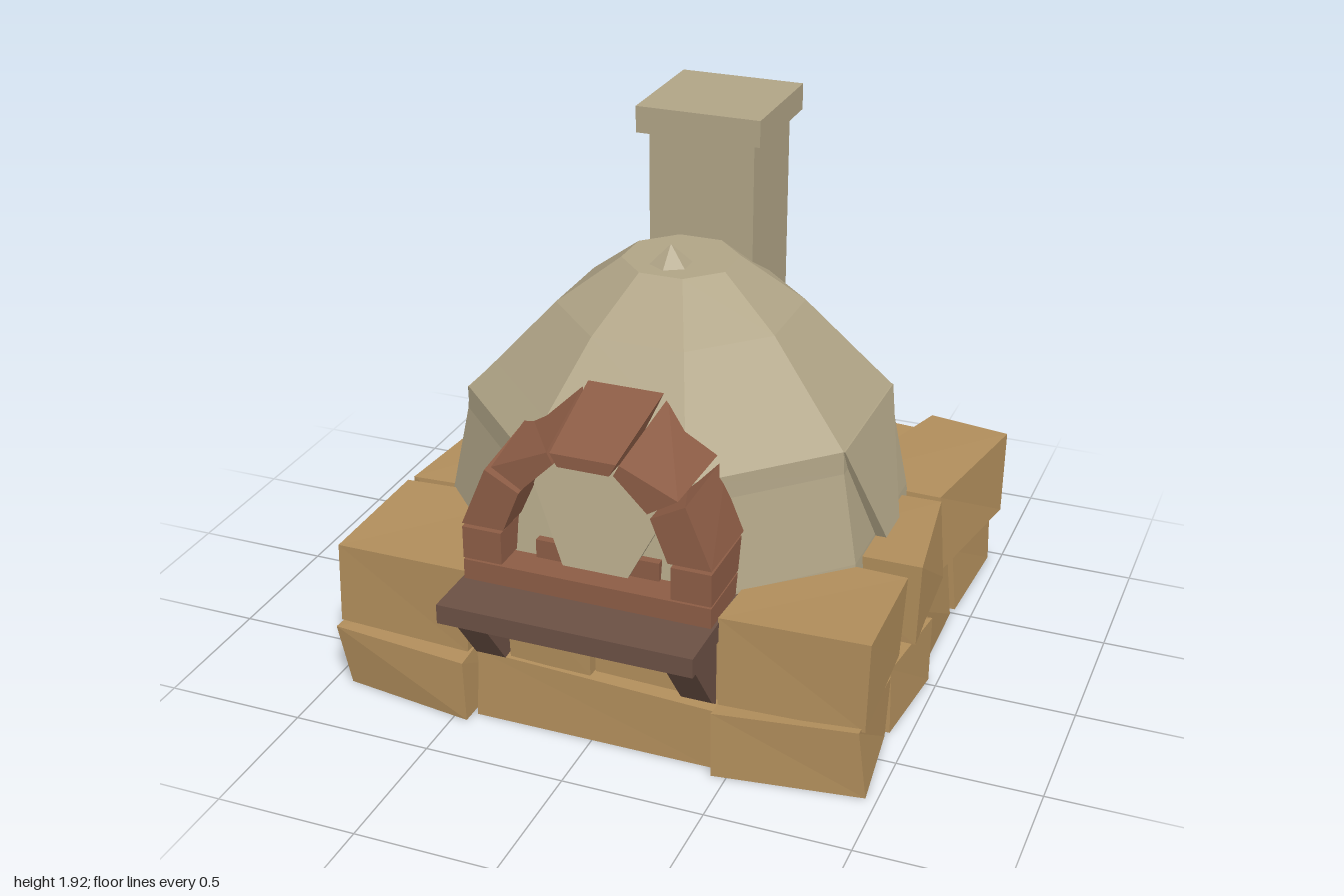
import * as THREE from 'three';

let seed = 11;
const jitter = (s) => {
  seed = (seed * 16807) % 2147483647;
  return (seed / 2147483647 - 0.5) * 2 * s;
};

// Flat-shaded solid between two matching outlines; a is counter-clockwise seen from its own side
function loft(a, b) {
  const v = [];
  const tri = (p, q, r) => v.push(...p, ...q, ...r);
  const n = a.length;
  for (let i = 1; i < n - 1; i++) {
    tri(a[0], a[i], a[i + 1]);
    tri(b[0], b[i + 1], b[i]);
  }
  for (let i = 0; i < n; i++) {
    const j = (i + 1) % n;
    tri(a[i], b[i], b[j]);
    tri(a[i], b[j], a[j]);
  }
  const g = new THREE.BufferGeometry();
  g.setAttribute('position', new THREE.Float32BufferAttribute(v, 3));
  g.computeVertexNormals();
  return g;
}

function flat(g) {
  const f = g.toNonIndexed();
  f.computeVertexNormals();
  return f;
}

function box(x0, x1, y0, y1, z0, z1) {
  return new THREE.BoxGeometry(x1 - x0, y1 - y0, z1 - z0)
    .translate((x0 + x1) / 2, (y0 + y1) / 2, (z0 + z1) / 2);
}

const mirror = (pts) => pts.map(([x, ...rest]) => [-x, ...rest]).reverse();

export function createModel() {
  const root = new THREE.Group();
  root.name = 'stoneOven';
  const material = (name, color) => {
    const m = new THREE.MeshStandardMaterial({ color });
    m.name = name;
    return m;
  };
  const stone = material('tan stone', 0xb08d5b);
  const clay = material('grey clay', 0xb0a486);
  const brick = material('red brick', 0x8c5c45);
  const slab = material('dark brown slab', 0x6b5044);

  const add = (name, g, m, parent = root) => {
    const mesh = new THREE.Mesh(g, m);
    mesh.name = name;
    parent.add(mesh);
    return mesh;
  };

  // Stone base: plan outlines [x, z] of the right half, mirrored; two courses
  const lower = [
    [[0.46, 0.79], [0.95, 0.74], [0.93, 0.36], [0.46, 0.36]],
    [[0.5, 0.34], [0.93, 0.34], [0.95, -0.03], [0.5, -0.03]],
    [[0.5, -0.05], [0.94, -0.05], [0.91, -0.5], [0.5, -0.5]],
    [[0.45, -0.52], [0.92, -0.52], [0.96, -0.95], [0.45, -0.91]],
    [[0.01, -0.5], [0.43, -0.5], [0.43, -0.92], [0.01, -0.89]],
  ];
  const upper = [
    [[0.45, 0.74], [0.96, 0.72], [0.94, 0.24], [0.45, 0.24]],
    [[0.5, 0.15], [0.96, 0.15], [0.91, -0.34], [0.5, -0.34]],
    [[0.5, -0.37], [0.9, -0.37], [1.0, -0.93], [0.7, -0.96]],
    [[0.41, -0.5], [0.72, -0.5], [0.69, -0.92], [0.41, -0.9]],
    [[0.01, -0.5], [0.39, -0.5], [0.39, -0.91], [0.01, -0.94]],
    [[0.005, 0.72], [0.32, 0.72], [0.32, 0.3], [0.005, 0.3]],
  ];
  const base = new THREE.Group();
  base.name = 'stoneBase';
  root.add(base);
  const addStone = (name, plan, y0, y1) => {
    const clamp = (x) => Math.max(-1, Math.min(1, x));
    const ring = (y, wobble) => plan.map(([x, z]) =>
      [clamp(x + jitter(0.018)), y + jitter(wobble), z + jitter(0.018)]);
    add(name, loft(ring(y1, 0.02), ring(y0, y0 > 0 ? 0.012 : 0)), stone, base);
  };
  for (const plan of lower) {
    addStone('lowerStone', plan, 0, 0.24);
    addStone('lowerStone', mirror(plan), 0, 0.24);
  }
  addStone('lowerFrontStone', [[-0.43, 0.75], [0.43, 0.75], [0.43, 0.3], [-0.43, 0.3]], 0, 0.24);
  upper.forEach((plan, i) => {
    const top = i > 2 ? 0.53 : 0.56;
    addStone('upperStone', plan, 0.25, top);
    addStone('upperStone', mirror(plan), 0.25, top);
  });
  add('baseCore', box(-0.86, 0.86, 0, 0.47, -0.86, 0.68), stone, base);

  // Eight-sided dome; radii are given to the middle of each face
  const dome = new THREE.Group();
  dome.name = 'dome';
  dome.position.z = -0.08;
  root.add(dome);
  const profile = [[0.77, 0.42], [0.755, 0.57], [0.695, 0.89], [0.69, 0.97],
    [0.6, 1.07], [0.4, 1.295], [0.19, 1.46], [0, 1.46]]
    .map(([r, y]) => new THREE.Vector2(r / Math.cos(Math.PI / 8), y));
  add('domeShell', flat(new THREE.LatheGeometry(profile, 8, Math.PI / 8)), clay, dome);

  // Downward-pointing panels on the four main faces
  for (let i = 0; i < 4; i++) {
    const face = [[0, 0.4, 0.835], [0.285, 0.97, 0.695], [-0.285, 0.97, 0.695]];
    const inner = face.map(([x, y, z]) => [x, y, z - 0.1]);
    add('domePanel', loft(face, inner), clay, dome).rotation.y = i * Math.PI / 2;
  }
  const finial = flat(new THREE.ConeGeometry(0.085, 0.08, 6)).translate(-0.01, 1.49, 0.07);
  add('finial', finial, clay, dome);

  // Chimney
  add('chimneyShaft', box(-0.193, 0.193, 0.95, 1.83, -0.645, -0.27), clay);
  add('chimneyCap', box(-0.227, 0.227, 1.83, 1.925, -0.685, -0.23), clay);

  // Mouth: sill, jamb bricks and arch bricks that flare towards the dome
  add('sillBrick', box(-0.44, 0.44, 0.56, 0.633, 0.42, 0.78), brick);
  add('hearthStep', box(-0.22, 0.22, 0.63, 0.7, 0.42, 0.68), brick);
  const zf = 0.78, zb = 0.42;
  const archBrick = (front, back) => {
    for (const f of [(p) => p, mirror]) {
      add('archBrick', loft(f(front).map((p) => [...p, zf]), f(back).map((p) => [...p, zb])), brick);
    }
  };
  for (const s of [-1, 1]) {
    add('jambBrick', box(-0.07, 0.07, 0.64, 0.757, zb, zf), brick).position.x = s * 0.37;
  }
  archBrick([[0.29, 0.77], [0.44, 0.77], [0.35, 0.985], [0.23, 0.92]],
    [[0.29, 0.77], [0.445, 0.77], [0.36, 1.01], [0.23, 0.92]]);
  archBrick([[0.22, 0.935], [0.325, 1.0], [0.125, 1.09], [0.105, 1.05]],
    [[0.22, 0.935], [0.35, 1.03], [0.15, 1.17], [0.105, 1.05]]);
  add('keyBrick', loft(
    [[-0.09, 1.045, zf], [0.09, 1.045, zf], [0.115, 1.09, zf], [-0.115, 1.09, zf]],
    [[-0.09, 1.045, zb], [0.09, 1.045, zb], [0.135, 1.185, zb], [-0.135, 1.185, zb]]), brick);

  // Shelf and its two brackets
  add('shelf', box(-0.45, 0.45, 0.49, 0.56, 0.5, 0.97), slab);
  const side = [[0.92, 0.49], [0.7, 0.49], [0.7, 0.22], [0.74, 0.25]];
  for (const s of [-1, 1]) {
    const at = (x) => side.map(([z, y]) => [x, y, z]).reverse();
    const g = loft(at(s * 0.375 + 0.055).reverse(), at(s * 0.375 - 0.055).reverse());
    const m = add('shelfBracket', g, slab);
    // Outline runs the other way round when seen from +x
    const p = g.attributes.position;
    const n = new THREE.Vector3().fromBufferAttribute(g.attributes.normal, 0);
    if (n.x < 0) {
      for (let i = 0; i < p.count; i += 3) {
        const b = new THREE.Vector3().fromBufferAttribute(p, i + 1);
        const c = new THREE.Vector3().fromBufferAttribute(p, i + 2);
        p.setXYZ(i + 1, c.x, c.y, c.z);
        p.setXYZ(i + 2, b.x, b.y, b.z);
      }
      g.computeVertexNormals();
    }
    m.updateMatrix();
  }

  return root;
}
